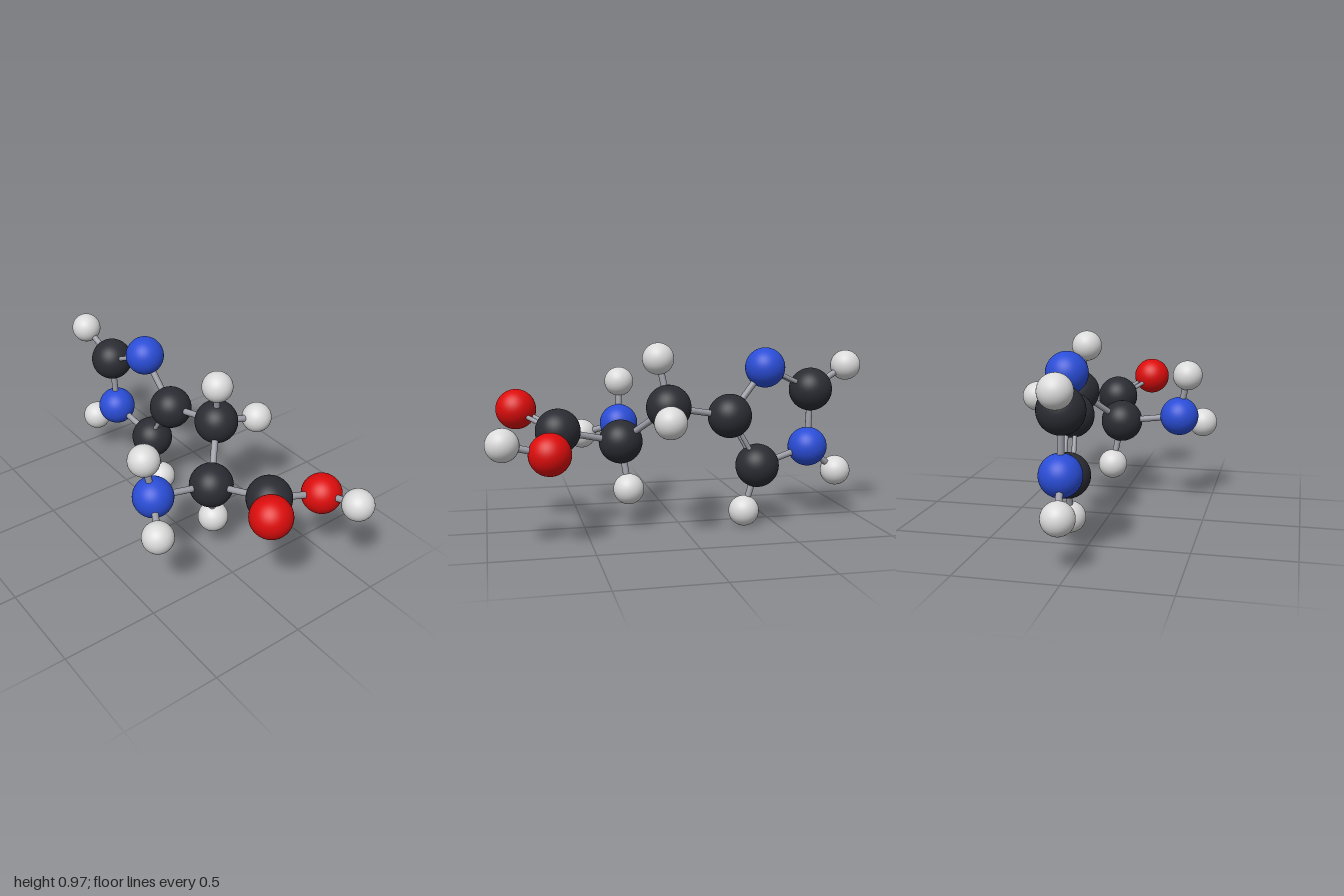
import * as THREE from 'three';

const paint = (name, color) => {
  const m = new THREE.MeshStandardMaterial({ color });
  m.name = name;
  return m;
};

export function createModel() {
  const model = new THREE.Group();
  model.name = 'molecule';

  const bondGrey = paint('bond grey', 0x9c9ca6);
  const ball = (radius, material) => ({ material, geometry: new THREE.SphereGeometry(radius, 40, 28) });
  const kinds = {
    carbon: ball(0.114, paint('charcoal', 0x2b2c33)),
    nitrogen: ball(0.104, paint('blue', 0x2a4dd6)),
    oxygen: ball(0.103, paint('red', 0xdc0c0c)),
    hydrogen: ball(0.08, paint('light grey', 0xdadada)),
  };

  // Atoms: name -> kind and centre
  const atoms = {
    // five-sided ring
    ringCarbonOuter: ['carbon', -0.71, 0.71, -0.067],
    ringNitrogenUpper: ['nitrogen', -0.44, 0.834, -0.112],
    ringCarbonInner: ['carbon', -0.243, 0.59, -0.143],
    ringCarbonLower: ['carbon', -0.4, 0.32, -0.124],
    ringNitrogenLower: ['nitrogen', -0.695, 0.403, -0.077],
    ringHydrogenOuter: ['hydrogen', -0.92, 0.833, -0.032],
    ringHydrogenSide: ['hydrogen', -0.873, 0.258, -0.042],
    ringHydrogenLower: ['hydrogen', -0.326, 0.083, -0.134],
    // chain
    chainCarbon: ['carbon', 0.09, 0.65, -0.196],
    chainHydrogenUpper: ['hydrogen', 0.136, 0.892, -0.158],
    chainHydrogenBack: ['hydrogen', 0.131, 0.607, -0.439],
    centreCarbon: ['carbon', 0.305, 0.453, 0],
    centreHydrogen: ['hydrogen', 0.272, 0.209, -0.045],
    // amine end
    amineNitrogen: ['nitrogen', 0.265, 0.502, 0.33],
    amineHydrogenUpper: ['hydrogen', 0.255, 0.73, 0.373],
    amineHydrogenSide: ['hydrogen', 0.46, 0.432, 0.439],
    // acid end
    acidCarbon: ['carbon', 0.636, 0.532, -0.092],
    acidOxygenFront: ['oxygen', 0.834, 0.628, 0.078],
    acidOxygenBack: ['oxygen', 0.698, 0.469, -0.387],
    acidHydrogen: ['hydrogen', 0.917, 0.525, -0.408],
  };

  const centres = {};
  for (const [name, [kind, x, y, z]] of Object.entries(atoms)) {
    const mesh = new THREE.Mesh(kinds[kind].geometry, kinds[kind].material);
    mesh.name = name;
    mesh.position.set(x, y, z);
    centres[name] = mesh.position;
    model.add(mesh);
  }

  // Bonds: a rod joining two centres, doubled side by side where order is 2
  const up = new THREE.Vector3(0, 1, 0);
  function bond(from, to, order = 1) {
    const a = centres[from], b = centres[to];
    const dir = b.clone().sub(a);
    const length = dir.length();
    dir.normalize();
    const side = dir.clone().cross(up).normalize();
    const radius = order === 2 ? 0.012 : 0.017;
    for (const offset of order === 2 ? [-0.022, 0.022] : [0]) {
      const rod = new THREE.Mesh(new THREE.CylinderGeometry(radius, radius, length, 16), bondGrey);
      rod.name = order === 2 ? 'doubleBond' : 'bond';
      rod.quaternion.setFromUnitVectors(up, dir);
      rod.position.copy(a).add(b).multiplyScalar(0.5).addScaledVector(side, offset);
      model.add(rod);
    }
  }

  const bonds = [
    ['ringCarbonOuter', 'ringNitrogenUpper', 2],
    ['ringNitrogenUpper', 'ringCarbonInner'],
    ['ringCarbonInner', 'ringCarbonLower', 2],
    ['ringCarbonLower', 'ringNitrogenLower'],
    ['ringNitrogenLower', 'ringCarbonOuter'],
    ['ringCarbonOuter', 'ringHydrogenOuter'],
    ['ringNitrogenLower', 'ringHydrogenSide'],
    ['ringCarbonLower', 'ringHydrogenLower'],
    ['ringCarbonInner', 'chainCarbon'],
    ['chainCarbon', 'chainHydrogenUpper'],
    ['chainCarbon', 'chainHydrogenBack'],
    ['chainCarbon', 'centreCarbon'],
    ['centreCarbon', 'centreHydrogen'],
    ['centreCarbon', 'amineNitrogen'],
    ['amineNitrogen', 'amineHydrogenUpper'],
    ['amineNitrogen', 'amineHydrogenSide'],
    ['centreCarbon', 'acidCarbon'],
    ['acidCarbon', 'acidOxygenFront', 2],
    ['acidCarbon', 'acidOxygenBack'],
    ['acidOxygenBack', 'acidHydrogen'],
  ];
  for (const b of bonds) bond(...b);

  return model;
}
